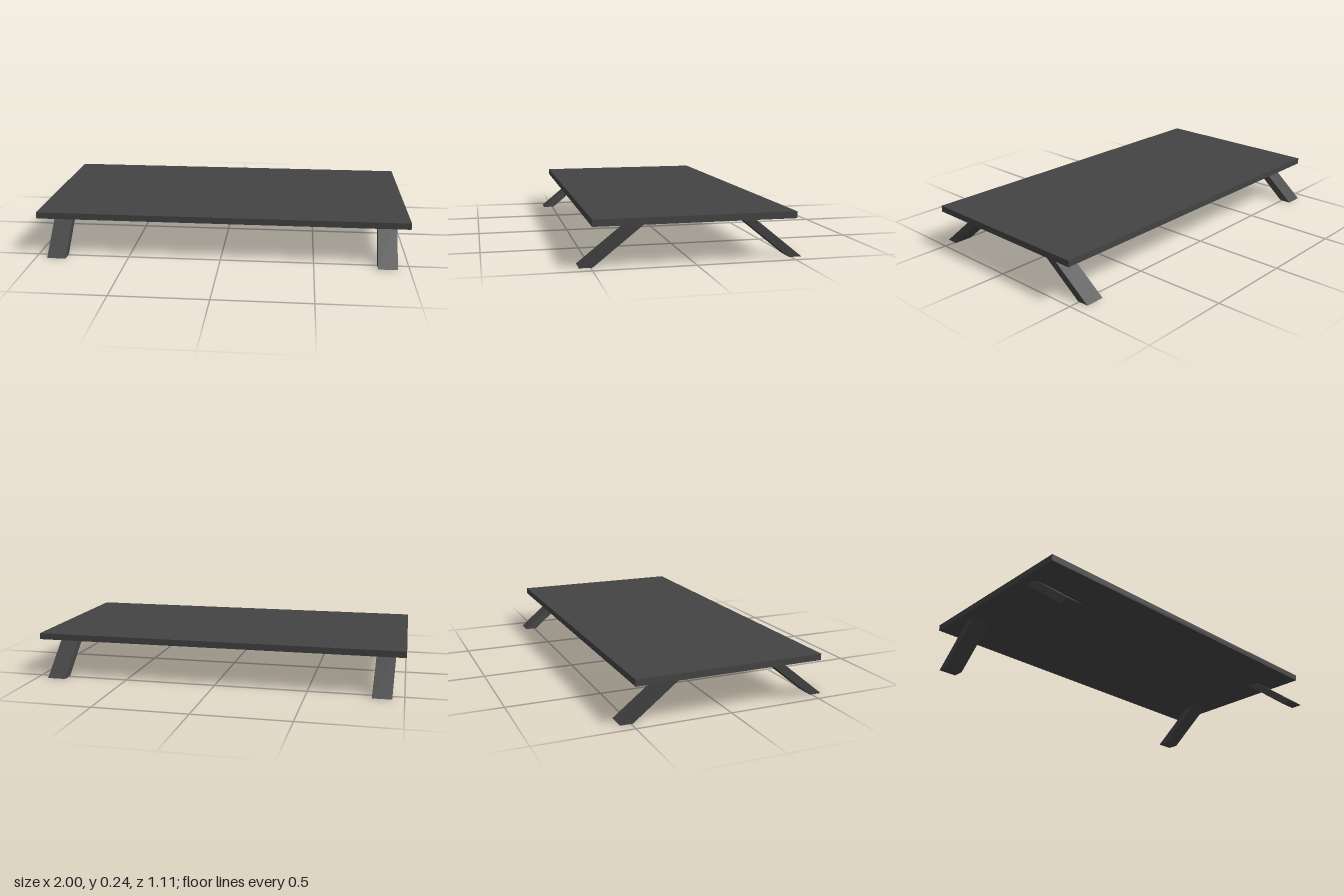
import * as THREE from 'three';

const TOP = 0.24, UNDER = 0.206;

// Slanted leg: a box sheared outward in z and slightly inward in x towards the foot
function legGeometry(sx, sz) {
  const geo = new THREE.BoxGeometry(0.102, UNDER, 0.065);
  geo.translate(0, UNDER / 2, 0);
  const p = geo.attributes.position;
  for (let i = 0; i < p.count; i++) {
    const t = p.getY(i) / UNDER;
    p.setX(i, p.getX(i) + sx * THREE.MathUtils.lerp(0.887, 0.897, t));
    p.setZ(i, p.getZ(i) + sz * THREE.MathUtils.lerp(0.523, 0.268, t));
  }
  geo.computeVertexNormals();
  return geo;
}

export function createModel() {
  const group = new THREE.Group();
  group.name = 'lowTable';
  const material = new THREE.MeshStandardMaterial({ color: 0x444444 });

  // Flat slab
  const top = new THREE.Mesh(new THREE.BoxGeometry(2, TOP - UNDER, 1), material);
  top.position.y = (TOP + UNDER) / 2;
  top.name = 'tableTop';
  group.add(top);

  // Four splayed legs
  for (const sx of [-1, 1]) {
    for (const sz of [-1, 1]) {
      const leg = new THREE.Mesh(legGeometry(sx, sz), material);
      leg.name = (sz > 0 ? 'front' : 'back') + (sx > 0 ? 'Left' : 'Right') + 'Leg';
      group.add(leg);
    }
  }
  return group;
}
